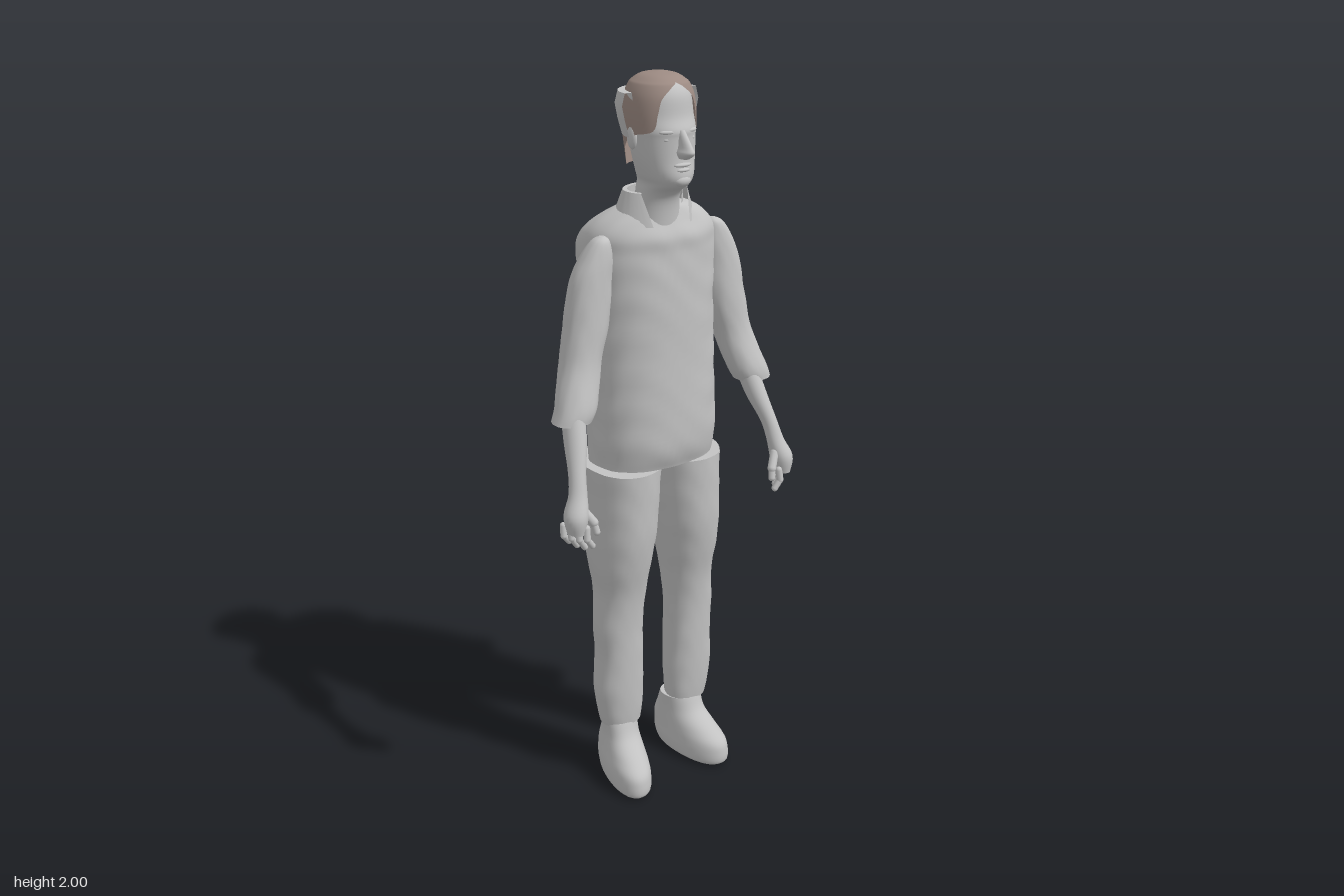
import * as THREE from 'three';
import { toCreasedNormals } from 'three/addons/utils/BufferGeometryUtils.js';

const grey = new THREE.MeshStandardMaterial({ color: 0xc2c2c2, side: THREE.DoubleSide });
grey.name = 'light grey';
const brown = new THREE.MeshStandardMaterial({ color: 0x9c8a82, side: THREE.DoubleSide });
brown.name = 'hair brown';

// Smooth interpolation through the cross-section rows
function smoothRows(rows, steps) {
  const out = [];
  for (let i = 0; i < rows.length - 1; i++) {
    const a = rows[Math.max(i - 1, 0)], b = rows[i], c = rows[i + 1], d = rows[Math.min(i + 2, rows.length - 1)];
    for (let k = 0; k < steps; k++) {
      const t = k / steps;
      out.push(b.map((v, j) => v + 0.5 * t * (c[j] - a[j] + t * (2 * a[j] - 5 * v + 4 * c[j] - d[j] + t * (3 * (v - c[j]) + d[j] - a[j])))));
    }
  }
  out.push(rows[rows.length - 1]);
  return out;
}

// Skin over horizontal rings [y, centreX, centreZ, radiusX, radiusZ, frontGapAngle]
function loft(rows, { n = 2.2, sides = 36, steps = 5, wrinkle = 0, open = false, warp } = {}) {
  const rings = smoothRows(rows, steps), pos = [], idx = [], cols = open ? sides + 1 : sides;
  rings.forEach(([y, cx, cz, rx, rz, gap = 0]) => {
    for (let j = 0; j < cols; j++) {
      const a = gap + (j / sides) * (2 * Math.PI - 2 * gap);
      const s = Math.sin(a), c = Math.cos(a);
      let r = Math.pow(Math.pow(Math.abs(s), n) + Math.pow(Math.abs(c), n), -1 / n);
      r *= 1 + wrinkle * Math.sin(y * 47 + 3 * Math.sin(a * 3)) * Math.cos(a * 5 + y * 19);
      const p = [cx + rx * r * s, y, cz + rz * r * c];
      pos.push(...(warp ? warp(p) : p));
    }
  });
  for (let i = 0; i < rings.length - 1; i++) {
    for (let j = 0; j < sides; j++) {
      const a = i * cols + j, b = i * cols + (j + 1) % cols;
      idx.push(a, b, b + cols, a, b + cols, a + cols);
    }
  }
  // Flat end caps with their own vertices keep the rims sharp
  if (!open) {
    for (const top of [false, true]) {
      const start = top ? (rings.length - 1) * cols : 0, base = pos.length / 3;
      const ring = rings[top ? rings.length - 1 : 0];
      pos.push(...pos.slice(start * 3, (start + cols) * 3));
      const centre = [ring[1], ring[0], ring[2]];
      pos.push(...(warp ? warp(centre) : centre));
      for (let j = 0; j < sides; j++) {
        const a = base + j, b = base + (j + 1) % sides;
        if (top) idx.push(base + cols, a, b); else idx.push(base + cols, b, a);
      }
    }
  }
  const g = new THREE.BufferGeometry();
  g.setAttribute('position', new THREE.Float32BufferAttribute(pos, 3));
  g.setIndex(idx);
  g.computeVertexNormals();
  return g;
}

function add(parent, name, geometry, material = grey) {
  const mesh = new THREE.Mesh(geometry, material);
  mesh.name = name;
  parent.add(mesh);
  return mesh;
}

function blob(parent, name, x, y, z, rx, ry, rz) {
  const m = add(parent, name, new THREE.SphereGeometry(1, 16, 10));
  m.position.set(x, y, z);
  m.scale.set(rx, ry, rz);
  return m;
}

function bone(parent, name, from, to, r) {
  const a = new THREE.Vector3(...from), b = new THREE.Vector3(...to), d = b.clone().sub(a);
  const m = add(parent, name, new THREE.CapsuleGeometry(r, d.length(), 4, 10));
  m.position.copy(a).add(b).multiplyScalar(0.5);
  m.quaternion.setFromUnitVectors(new THREE.Vector3(0, 1, 0), d.normalize());
}

// Mirror a row list to one side of a centre line
const sided = (rows, s, mid) => rows.map(([y, d, ...rest]) => [y, mid + s * d, ...rest]);

const torsoRows = [
  [0.98, 0.022, -0.022, 0.177, 0.126], [1.05, 0.022, -0.016, 0.177, 0.138], [1.2, 0.022, -0.023, 0.176, 0.14],
  [1.4, 0.022, -0.033, 0.174, 0.142], [1.5, 0.022, -0.041, 0.18, 0.146], [1.56, 0.022, -0.047, 0.182, 0.147],
  [1.6, 0.022, -0.034, 0.176, 0.132], [1.635, 0.02, -0.018, 0.148, 0.1], [1.665, 0.017, 0, 0.1, 0.068], [1.675, 0.013, 0.015, 0.06, 0.045],
];
const collarRows = [
  [1.63, 0.014, 0.005, 0.115, 0.09, 0.5], [1.71, 0.014, 0.01, 0.086, 0.07, 0.95], [1.71, 0.014, 0.01, 0.074, 0.058, 0.95],
  [1.63, 0.014, 0.01, 0.08, 0.06, 0.5],
];
const legRows = [
  [0.175, 0.115, 0.005, 0.06, 0.05], [0.22, 0.117, 0.005, 0.067, 0.055], [0.3, 0.12, 0.005, 0.073, 0.06],
  [0.4, 0.118, 0.005, 0.068, 0.064], [0.5, 0.12, 0.005, 0.07, 0.066], [0.6, 0.113, 0.003, 0.069, 0.078],
  [0.7, 0.111, 0, 0.082, 0.1], [0.8, 0.105, -0.007, 0.09, 0.121], [0.9, 0.1, -0.012, 0.095, 0.127], [0.98, 0.097, -0.014, 0.099, 0.128],
];
const shoeRows = [
  [0, 0.112, 0.05, 0.05, 0.112], [0.012, 0.112, 0.05, 0.06, 0.124], [0.04, 0.112, 0.044, 0.063, 0.13], [0.07, 0.112, 0.038, 0.061, 0.126],
  [0.1, 0.11, 0.022, 0.057, 0.106], [0.14, 0.108, 0.005, 0.053, 0.072], [0.185, 0.108, 0.003, 0.054, 0.052],
];
const sleeveRows = [
  [1.16, 0.288, 0.052, 0.052, 0.048], [1.2, 0.271, 0.048, 0.055, 0.05], [1.3, 0.24, 0.02, 0.053, 0.052], [1.4, 0.215, 0.012, 0.059, 0.052],
  [1.5, 0.2, 0.012, 0.054, 0.047], [1.56, 0.185, 0.015, 0.041, 0.039], [1.6, 0.175, 0.02, 0.023, 0.025], [1.612, 0.17, 0.02, 0.007, 0.008],
];
const forearmRows = [
  [0.905, 0.334, 0.157, 0.022, 0.028], [0.95, 0.332, 0.155, 0.031, 0.034], [1.0, 0.318, 0.143, 0.024, 0.024],
  [1.05, 0.308, 0.125, 0.022, 0.025], [1.12, 0.29, 0.09, 0.028, 0.034], [1.2, 0.275, 0.055, 0.03, 0.036],
];
const headRows = [
  [1.6, 0.005, 0.025, 0.066, 0.058], [1.68, 0.003, 0.033, 0.056, 0.055], [1.715, 0.003, 0.042, 0.053, 0.063], [1.738, 0.003, 0.06, 0.052, 0.082],
  [1.76, 0.003, 0.065, 0.061, 0.087], [1.8, 0.003, 0.06, 0.072, 0.084], [1.85, 0.003, 0.053, 0.078, 0.088], [1.87, 0.003, 0.049, 0.08, 0.092],
  [1.9, 0.003, 0.044, 0.08, 0.084], [1.95, 0.003, 0.042, 0.073, 0.077], [1.98, 0.003, 0.042, 0.05, 0.052], [1.99, 0.003, 0.042, 0.01, 0.01],
];
const hairRows = [
  [1.77, 0.003, 0.03, 0.07, 0.072, 2.1], [1.82, 0.003, 0.036, 0.078, 0.084, 1.95], [1.855, 0.003, 0.041, 0.085, 0.09, 1.4],
  [1.87, 0.003, 0.042, 0.086, 0.092, 0.8], [1.91, 0.003, 0.042, 0.086, 0.091, 0.66], [1.945, 0.003, 0.042, 0.081, 0.087, 0.55],
  [1.97, 0.003, 0.042, 0.071, 0.077, 0.22], [1.98, 0.003, 0.042, 0.062, 0.068, 0], [1.993, 0.003, 0.042, 0.04, 0.045, 0], [2.0, 0.003, 0.042, 0.001, 0.001, 0],
];
const Q = Math.PI / 2;
const bandRows = [
  [1.85, 0.003, 0.05, 0.092, 0.1, Q], [1.89, 0.003, 0.05, 0.104, 0.108, Q], [1.925, 0.003, 0.05, 0.112, 0.11, Q], [1.955, 0.003, 0.05, 0.104, 0.104, Q],
  [1.955, 0.003, 0.05, 0.083, 0.092, Q], [1.85, 0.003, 0.05, 0.08, 0.09, Q], [1.85, 0.003, 0.05, 0.092, 0.1, Q],
];
const noseRows = [
  [1.806, 0.003, 0.145, 0.012, 0.018], [1.82, 0.003, 0.15, 0.018, 0.034], [1.835, 0.003, 0.147, 0.013, 0.031], [1.872, 0.003, 0.132, 0.009, 0.012],
];

export function createModel() {
  const model = new THREE.Group();
  model.name = 'standingMan';

  // Shirt
  add(model, 'shirt', loft(torsoRows, { n: 2.3, sides: 56, steps: 8, wrinkle: 0.012 }));
  add(model, 'collar', toCreasedNormals(loft(collarRows, { n: 2, steps: 1, open: true }), 0.7));

  // Head, with facial features
  const head = new THREE.Group();
  head.name = 'head';
  model.add(head);
  add(head, 'faceAndNeck', loft(headRows, { n: 2.1, sides: 40 }));
  add(head, 'nose', loft(noseRows, { n: 2, sides: 16 }));
  blob(head, 'upperLip', 0.003, 1.79, 0.141, 0.025, 0.006, 0.011);
  blob(head, 'lowerLip', 0.003, 1.778, 0.141, 0.021, 0.006, 0.012);
  blob(head, 'chin', 0.003, 1.752, 0.14, 0.024, 0.015, 0.016);
  for (const s of [-1, 1]) {
    blob(head, 'eye', 0.003 + s * 0.032, 1.85, 0.126, 0.013, 0.006, 0.007);
    blob(head, 'brow', 0.003 + s * 0.033, 1.868, 0.127, 0.022, 0.006, 0.009).rotation.y = s * 0.35;
    blob(head, 'ear', 0.003 + s * 0.08, 1.85, 0.045, 0.01, 0.03, 0.018);
  }
  add(head, 'hair', loft(hairRows, { n: 2.2, sides: 44, open: true }), brown);
  add(head, 'headBand', toCreasedNormals(loft(bandRows, { n: 2, steps: 1, open: true }), 0.7));

  for (const s of [-1, 1]) {
    const side = s > 0 ? 'left' : 'right';

    // Trousers and shoes, toes turned outwards
    add(model, side + 'TrouserLeg', loft(sided(legRows, s, 0.013), { n: 2.2, wrinkle: 0.012, steps: 6 }));
    add(model, side + 'Shoe', loft(sided(shoeRows, s, 0.005), { warp: ([x, y, z]) => [x + s * 0.17 * z, y, z] }));

    // Arm with rolled sleeve
    const arm = new THREE.Group();
    arm.name = side + 'Arm';
    model.add(arm);
    add(arm, 'sleeve', loft(sided(sleeveRows, s, 0.018), { n: 2.2, wrinkle: 0.02, steps: 6 }));
    add(arm, 'forearmAndPalm', loft(sided(forearmRows, s, 0.006), { n: 2, sides: 24 }));

    // Gently curled fingers and a thumb
    for (let i = 0; i < 4; i++) {
      const x = 0.35 - i * 0.013, z = 0.132 + i * 0.016, drop = [0.012, 0.003, 0, 0.007][i];
      const knuckle = [s * x, 0.92, z], bend = [s * (x + 0.002), 0.888 + drop / 2, z + 0.005], tip = [s * (x - 0.014), 0.862 + drop, z + 0.003];
      bone(arm, 'finger', knuckle, bend, 0.0095);
      bone(arm, 'fingertip', bend, tip, 0.0085);
    }
    bone(arm, 'thumb', [s * 0.31, 0.965, 0.16], [s * 0.288, 0.93, 0.178], 0.012);
    bone(arm, 'thumbTip', [s * 0.288, 0.93, 0.178], [s * 0.284, 0.905, 0.184], 0.0095);
  }
  return model;
}
